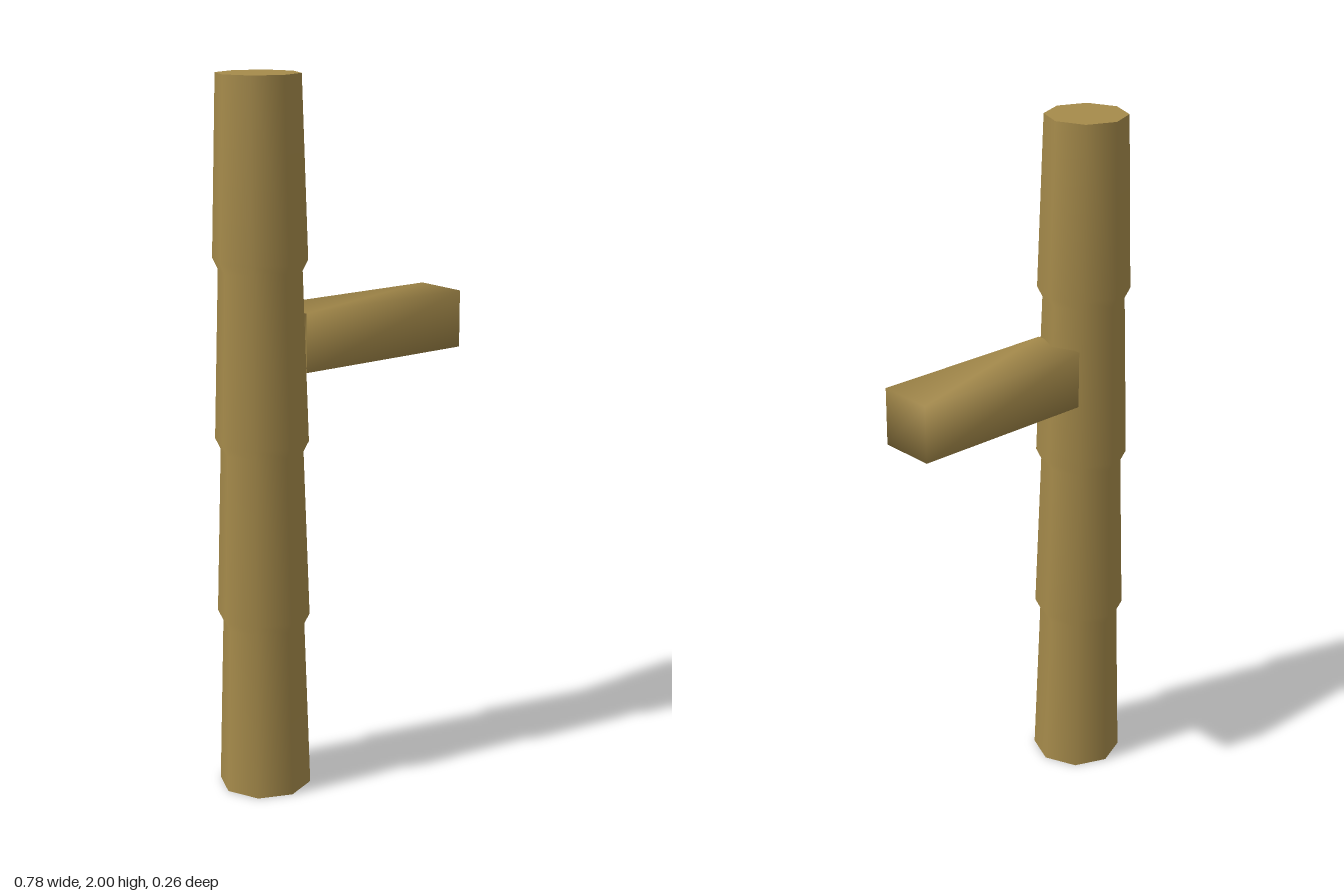
import * as THREE from 'three';
import { mergeVertices } from 'three/addons/utils/BufferGeometryUtils.js';

export function createModel() {
  const model = new THREE.Group();
  const bark = new THREE.MeshStandardMaterial({ color: 0xa68b4b, side: THREE.DoubleSide });
  bark.name = 'tan bark';

  const add = (name, geometry, x, y, parent = model) => {
    const mesh = new THREE.Mesh(geometry, bark);
    mesh.name = name;
    mesh.position.set(x, y, 0);
    parent.add(mesh);
    return mesh;
  };

  // Eight-sided trunk: four tapering sections, each flaring out above a joint
  const wide = 0.13, narrow = 0.115, sections = 4, step = 0.5;
  const profile = [];
  for (let i = 0; i < sections; i++) {
    const last = i === sections - 1;
    profile.push(new THREE.Vector2(wide, i === 0 ? 0 : i * step + 0.01));
    profile.push(new THREE.Vector2(narrow, last ? 2 : (i + 1) * step - 0.02));
  }
  const trunk = new THREE.Group();
  trunk.name = 'trunk';
  trunk.position.x = -0.258;
  model.add(trunk);
  add('trunkWall', new THREE.LatheGeometry(profile, 8), 0, 0, trunk);

  // Flat end faces of the trunk
  add('trunkTop', new THREE.CircleGeometry(narrow, 8).rotateX(-Math.PI / 2), 0, 2, trunk);
  add('trunkBase', new THREE.CircleGeometry(wide, 8).rotateX(Math.PI / 2), 0, 0, trunk);

  // Square side branch with soft shading, left open where it meets the trunk
  const box = new THREE.BoxGeometry(0.553, 0.164, 0.164);
  const faces = Array.from(box.index.array);
  faces.splice(6, 6);
  box.setIndex(faces);
  box.clearGroups();
  box.deleteAttribute('normal');
  box.deleteAttribute('uv');
  const branch = mergeVertices(box);
  branch.computeVertexNormals();
  add('branch', branch, 0.1115, 1.28);

  return model;
}
